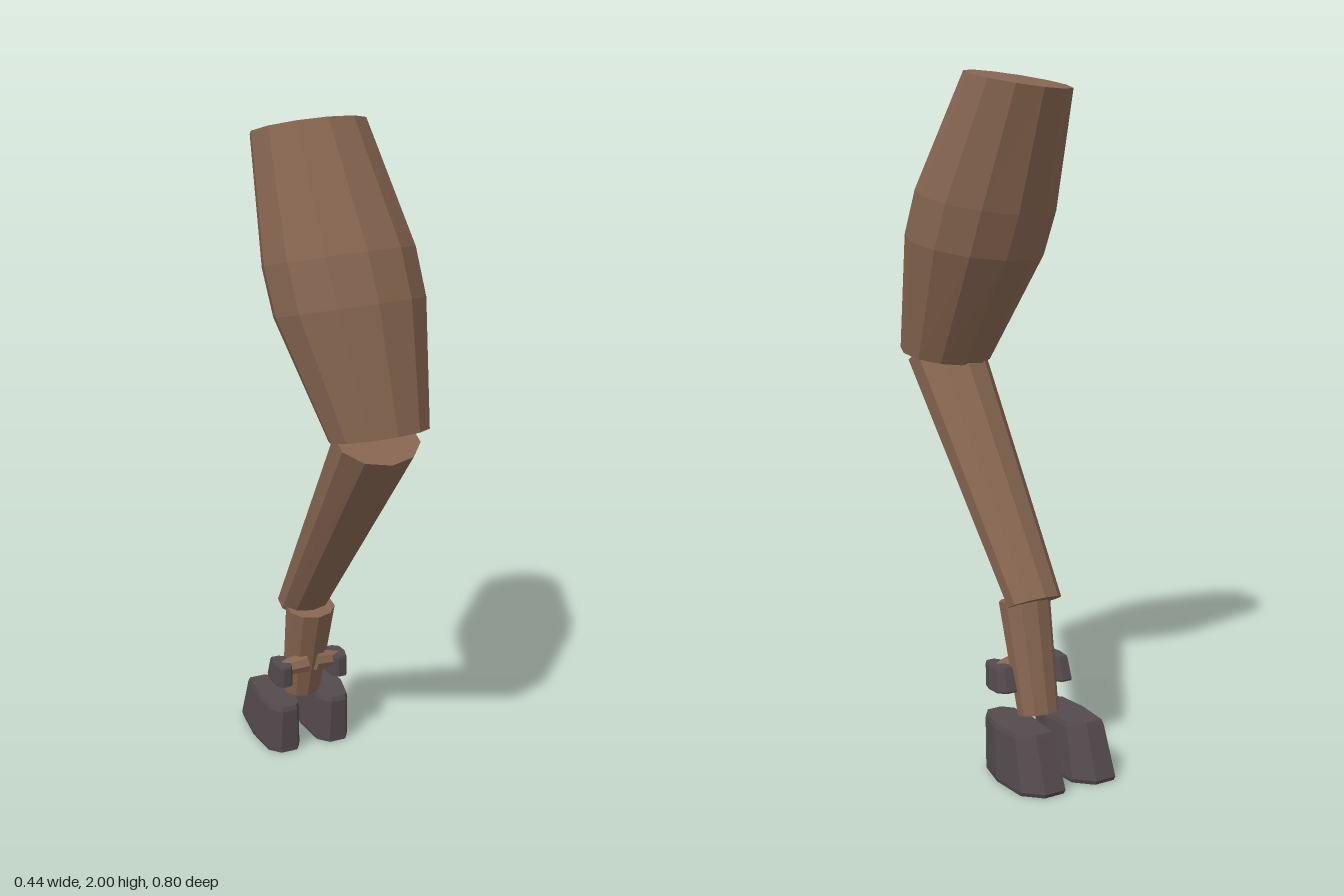
import * as THREE from 'three';

// Closed flat-sided solid through rings of points, listed from bottom to top.
function loft(rings) {
  const pos = [];
  const tri = (...pts) => pts.forEach((p) => pos.push(p.x, p.y, p.z));
  const middle = (ring) =>
    ring.reduce((sum, p) => sum.add(p), new THREE.Vector3()).divideScalar(ring.length);
  const n = rings[0].length;
  const low = rings[0], high = rings[rings.length - 1];
  const lowMid = middle(low), highMid = middle(high);
  for (let i = 0; i < n; i++) {
    const j = (i + 1) % n;
    for (let k = 0; k < rings.length - 1; k++) {
      const a = rings[k], b = rings[k + 1];
      tri(a[i], b[i], a[j]);
      tri(b[i], b[j], a[j]);
    }
    tri(lowMid, low[i], low[j]);
    tri(highMid, high[j], high[i]);
  }
  const geo = new THREE.BufferGeometry();
  geo.setAttribute('position', new THREE.Float32BufferAttribute(pos, 3));
  geo.computeVertexNormals();
  return geo;
}

// Oval ring whose plane leans by slopeX and slopeZ; rx and rz are seen from above.
function oval([x, y, z, rx, rz], sides, slopeX, slopeZ) {
  return Array.from({ length: sides }, (_, i) => {
    const a = Math.PI / 2 + (i / sides) * Math.PI * 2;
    const dx = rx * Math.cos(a), dz = rz * Math.sin(a);
    return new THREE.Vector3(x + dx, y + slopeX * dx + slopeZ * dz, z + dz);
  });
}

// Hoof outline from above: x about its own middle, z measured from the heel.
const HOOF = [
  [-0.055, -0.285], [0.01, -0.285], [0.06, -0.237], [0.068, -0.12], [0.046, -0.022],
  [0.03, 0], [-0.025, 0], [-0.058, -0.035], [-0.068, -0.15],
];

// Sloping hoof, smaller at the top.
function hoofGeometry(width, length, height) {
  const ring = (y, sx, sz, shift) => HOOF.map(([x, z]) =>
    new THREE.Vector3(x * sx * width, y * height, (z * sz + shift) * length));
  return loft([ring(0, 0.97, 0.98, 0), ring(0.012, 1, 1, 0),
    ring(0.15, 0.88, 0.86, 0.01), ring(0.165, 0.82, 0.82, 0.005)]);
}

export function createModel() {
  const group = new THREE.Group();
  group.name = 'hindLeg';
  const hide = new THREE.MeshStandardMaterial({ color: 0x866550, flatShading: true });
  hide.name = 'brownHide';
  const horn = new THREE.MeshStandardMaterial({ color: 0x534a4d, flatShading: true });
  horn.name = 'darkHorn';

  const add = (name, geometry, material, x = 0, y = 0, z = 0) => {
    const mesh = new THREE.Mesh(geometry, material);
    mesh.name = name;
    mesh.position.set(x, y, z);
    group.add(mesh);
    return mesh;
  };
  const limb = (name, sides, slopeX, slopeZ, rings) =>
    add(name, loft(rings.map((r) => oval(r, sides, slopeX, slopeZ))), hide);

  // Leg segments: centre x, y, z, then half width and half depth
  limb('thigh', 12, 0.05, 0.235, [
    [0.043, 1.167, 0.282, 0.143, 0.118],
    [0.007, 1.5, 0.162, 0.214, 0.184],
    [-0.007, 1.63, 0.119, 0.215, 0.185],
    [-0.043, 1.967, -0.005, 0.163, 0.137],
  ]);
  limb('shin', 10, 0, -0.5, [
    [0.012, 0.491, -0.187, 0.083, 0.058],
    [0.031, 1.162, 0.297, 0.123, 0.094],
  ]);
  limb('cannon', 10, 0, -0.2, [
    [0.015, 0.17, -0.213, 0.062, 0.052],
    [0.016, 0.49, -0.137, 0.078, 0.067],
  ]);

  // Pair of hooves and dewclaws
  for (const side of [-1, 1]) {
    const label = side > 0 ? 'left' : 'right';
    const cx = 0.014;
    add(label + 'Hoof', hoofGeometry(1, 1, 1), horn, cx + side * 0.085, 0, -0.115);
    add(label + 'Dewclaw', hoofGeometry(0.46, 0.37, 0.43), horn, cx + side * 0.094, 0.24, -0.1);

    // Stub joining the dewclaw to the cannon
    const from = new THREE.Vector3(cx + side * 0.015, 0.298, -0.138);
    const to = new THREE.Vector3(cx + side * 0.095, 0.288, -0.138);
    const dir = to.clone().sub(from);
    const stub = add(label + 'DewclawStub',
      new THREE.CylinderGeometry(0.024, 0.036, dir.length(), 8), hide);
    stub.position.copy(from).add(to).multiplyScalar(0.5);
    stub.quaternion.setFromUnitVectors(new THREE.Vector3(0, 1, 0), dir.normalize());
  }
  return group;
}
